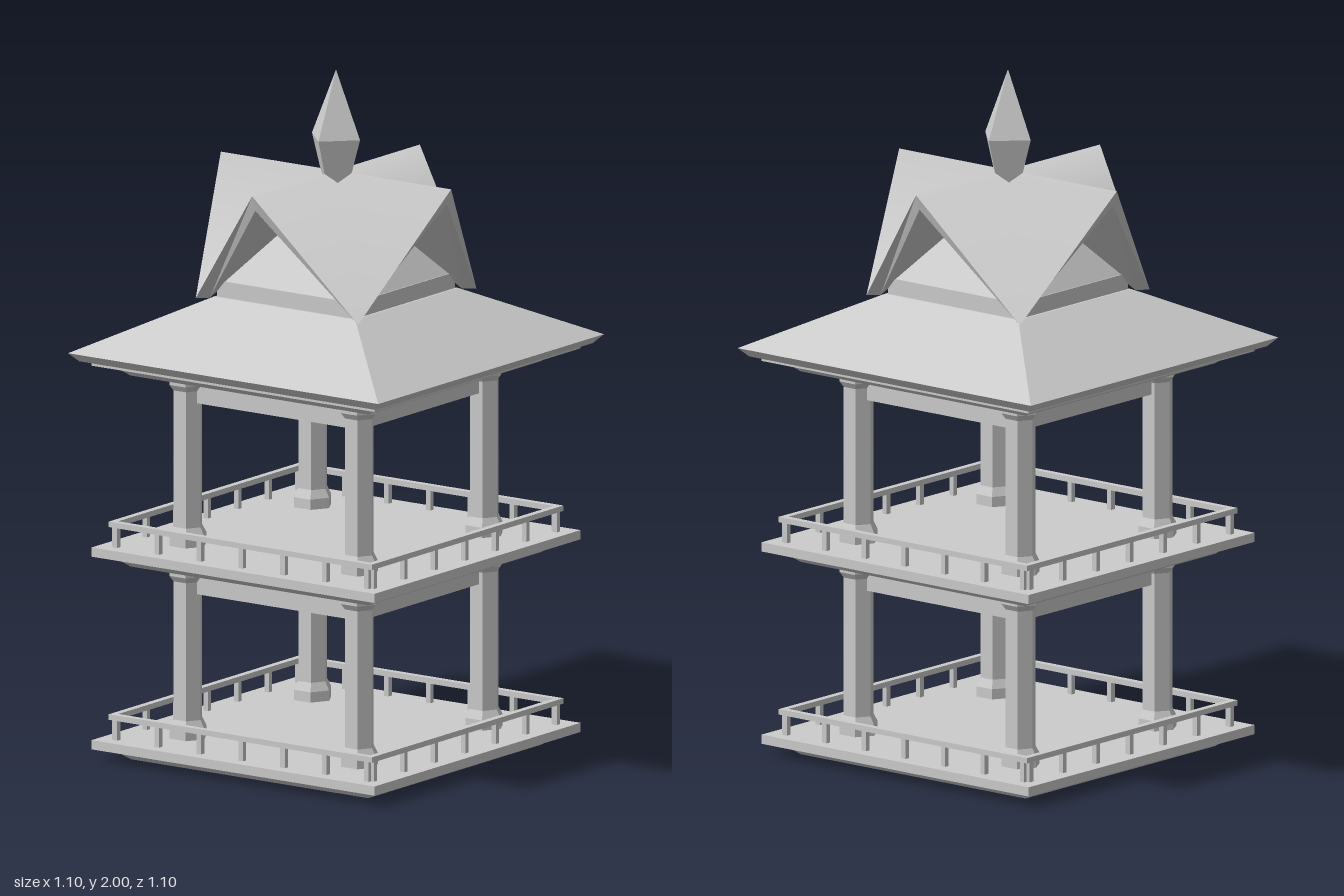
import * as THREE from 'three';

const material = new THREE.MeshStandardMaterial({ color: 0xcccccc, flatShading: true });
const smoothMaterial = new THREE.MeshStandardMaterial({ color: 0xcccccc, side: THREE.DoubleSide });
const flatSheet = new THREE.MeshStandardMaterial({ color: 0xcccccc, flatShading: true, side: THREE.DoubleSide });

function add(parent, name, geometry, mat = material) {
  const mesh = new THREE.Mesh(geometry, mat);
  mesh.name = name;
  parent.add(mesh);
  return mesh;
}

// Faceted prism or frustum between two heights
function frustum(rBottom, rTop, y0, y1, sides, turn = 0) {
  const g = new THREE.CylinderGeometry(rTop, rBottom, y1 - y0, sides);
  g.rotateY(turn).translate(0, (y0 + y1) / 2, 0);
  const flat = g.toNonIndexed();
  flat.computeVertexNormals();
  return flat;
}

// Square frustum given by its half widths
const square = (bottom, top, y0, y1) =>
  frustum(bottom * Math.SQRT2, top * Math.SQRT2, y0, y1, 4, Math.PI / 4);

// Floor slab with a bevelled underside
function floor(parent, name, top) {
  const g = new THREE.Group();
  g.name = name;
  add(g, 'slab', square(0.5, 0.5, top - 0.027, top));
  add(g, 'bevel', square(0.42, 0.46, top - 0.06, top - 0.027));
  parent.add(g);
}

// Handrail with seven posts on each side
function railing(parent, y) {
  for (let side = 0; side < 4; side++) {
    const g = new THREE.Group();
    g.name = 'railing';
    g.rotation.y = side * Math.PI / 2;
    add(g, 'handrail', new THREE.BoxGeometry(0.93, 0.016, 0.02)).position.set(0, y + 0.066, 0.455);
    for (let i = -3; i <= 3; i++) {
      add(g, 'railPost', new THREE.BoxGeometry(0.016, 0.06, 0.016)).position.set(i * 0.148, y + 0.03, 0.455);
    }
    parent.add(g);
  }
}

// Hexagonal columns with base and capital, joined by beams at the top
function storey(parent, y0, y1) {
  const turn = Math.PI / 2, r = 0.045, R = 0.058;
  for (const x of [-0.303, 0.303]) for (const z of [-0.303, 0.303]) {
    const column = new THREE.Group();
    column.name = 'column';
    column.position.set(x, 0, z);
    add(column, 'shaft', frustum(r, r, y0, y1, 6, turn));
    add(column, 'base', frustum(R, R, y0, y0 + 0.03, 6, turn));
    add(column, 'baseTaper', frustum(R, r, y0 + 0.03, y0 + 0.055, 6, turn));
    add(column, 'capital', frustum(R, R, y1 - 0.028, y1, 6, turn));
    add(column, 'capitalTaper', frustum(r, R, y1 - 0.045, y1 - 0.028, 6, turn));
    parent.add(column);
  }
  for (let side = 0; side < 4; side++) {
    const g = new THREE.Group();
    g.name = 'beam';
    g.rotation.y = side * Math.PI / 2;
    add(g, 'beamPanel', new THREE.BoxGeometry(0.58, 0.08, 0.02)).position.set(0, y1 - 0.04, 0.303);
    parent.add(g);
  }
}

// Eight outline points of the crossed gables: ridge ends alternate with valley feet
function gableRing(ridgeOut, ridgeY, foot, footY) {
  const ring = [];
  for (let i = 0; i < 8; i++) {
    const a = i * Math.PI / 4;
    const ridge = i % 2 === 0;
    const d = ridge ? ridgeOut : foot * Math.SQRT2;
    ring.push([Math.sin(a) * d, ridge ? ridgeY : footY, Math.cos(a) * d]);
  }
  return ring;
}

function indexed(points, index) {
  const g = new THREE.BufferGeometry();
  g.setAttribute('position', new THREE.Float32BufferAttribute(points.flat(), 3));
  g.setIndex(index);
  g.computeVertexNormals();
  return g;
}

// Thick star-shaped roof: smooth top, underside and outward rim
function gables(parent) {
  const outer = gableRing(0.407, 1.705, 0.287, 1.345);
  const inner = gableRing(0.392, 1.66, 0.258, 1.345);
  const top = [], under = [], rim = [];
  for (let i = 0; i < 8; i++) {
    const j = (i + 1) % 8;
    top.push(8, i, j);
    under.push(8, j, i);
    rim.push(i, i + 8, j, j, i + 8, j + 8);
  }
  const g = new THREE.Group();
  g.name = 'crossedGables';
  add(g, 'gableTop', indexed([...outer, [0, 1.705, 0]], top), smoothMaterial);
  add(g, 'gableUnderside', indexed([...inner, [0, 1.66, 0]], under).toNonIndexed(), flatSheet);
  const edge = indexed([...outer, ...inner], rim).toNonIndexed();
  edge.computeVertexNormals();
  add(g, 'gableRim', edge, flatSheet);
  parent.add(g);
}

export function createModel() {
  const model = new THREE.Group();
  model.name = 'pavilion';

  // Floors, railings and columns
  const tops = [0.06, 0.625, 1.185];
  floor(model, 'groundFloor', tops[0]);
  floor(model, 'upperFloor', tops[1]);
  floor(model, 'ceiling', tops[2]);
  for (let i = 0; i < 2; i++) {
    railing(model, tops[i]);
    storey(model, tops[i], tops[i + 1] - 0.06);
  }

  // Skirt roof, inner wall and the pyramid behind the gables
  add(model, 'eaves', square(0.525, 0.548, 1.172, 1.197));
  add(model, 'skirtRoof', square(0.548, 0.25, 1.197, 1.348));
  add(model, 'gableWall', square(0.243, 0.243, 1.345, 1.395));
  add(model, 'innerRoof', square(0.24, 0.001, 1.395, 1.68));
  gables(model);

  // Four-sided finial
  add(model, 'finialBase', frustum(0.045, 0.085, 1.67, 1.805, 4));
  add(model, 'finialTip', frustum(0.085, 0.0005, 1.805, 2, 4));
  return model;
}
